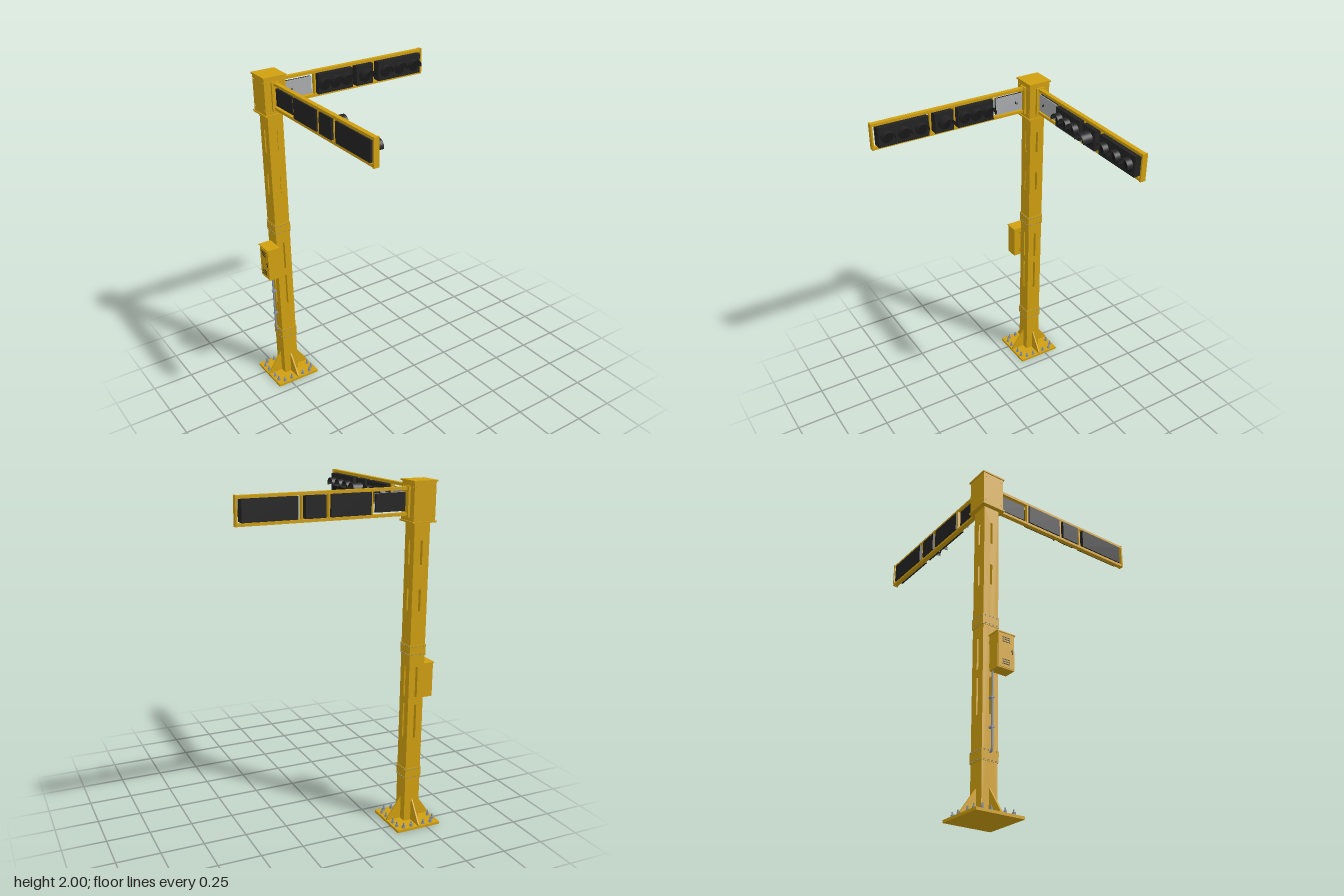
import * as THREE from 'three';

const mat = (name, color, side = THREE.FrontSide) => {
  const m = new THREE.MeshStandardMaterial({ color, side });
  m.name = name;
  return m;
};

export function createModel() {
  const yellow = mat('yellow paint', 0xd0a010);
  const black = mat('black housing', 0x232323, THREE.DoubleSide);
  const lensDark = mat('unlit lens', 0x161616);
  const steel = mat('steel', 0x8a93a3);
  const signGrey = mat('sign grey', 0xa9abae);

  const model = new THREE.Group();
  model.name = 'signalPole';
  // everything hangs on the pole axis
  const root = new THREE.Group();
  root.name = 'poleAssembly';
  root.position.set(-0.45, 0, 0.447);
  model.add(root);

  const add = (parent, name, geo, material, x = 0, y = 0, z = 0) => {
    const m = new THREE.Mesh(geo, material);
    m.name = name;
    m.position.set(x, y, z);
    parent.add(m);
    return m;
  };
  const box = (parent, name, material, w, h, d, x, y, z) =>
    add(parent, name, new THREE.BoxGeometry(w, h, d), material, x, y, z);
  const group = (name, angle = 0) => {
    const g = new THREE.Group();
    g.name = name;
    g.rotation.y = angle;
    root.add(g);
    return g;
  };

  // base plate
  box(root, 'basePlate', yellow, 0.28, 0.015, 0.28, 0, 0.0075, 0);

  // pole wall with slots
  const H = 0.0475, T = 0.004;
  const wall = new THREE.Shape([[-H, 0.01], [H, 0.01], [H, 1.78], [-H, 1.78]].map(p => new THREE.Vector2(...p)));
  for (const [a, b] of [[0.535, 0.74], [0.785, 0.965], [1.285, 1.41], [1.545, 1.68]]) {
    wall.holes.push(new THREE.Path([[-0.007, a], [-0.007, b], [0.007, b], [0.007, a]].map(p => new THREE.Vector2(...p))));
  }
  const wallGeo = new THREE.ExtrudeGeometry(wall, { depth: T, bevelEnabled: false });

  // triangular base gusset
  const gusset = new THREE.Shape([[H, 0.015], [0.137, 0.015], [0.137, 0.025], [H + 0.004, 0.15], [H, 0.15]].map(p => new THREE.Vector2(...p)));
  const gussetGeo = new THREE.ExtrudeGeometry(gusset, { depth: 0.008, bevelEnabled: false });

  const washerGeo = new THREE.CylinderGeometry(0.011, 0.011, 0.004, 16);
  const nutGeo = new THREE.CylinderGeometry(0.008, 0.008, 0.012, 6);
  const studGeo = new THREE.CylinderGeometry(0.004, 0.004, 0.016, 10);
  const boltGeo = new THREE.CylinderGeometry(0.0035, 0.0035, 0.006, 6).rotateX(Math.PI / 2);

  // four sides of the pole
  for (let i = 0; i < 4; i++) {
    const side = group('poleSide', i * Math.PI / 2);
    add(side, 'poleWall', wallGeo, yellow, 0, 0, H - T);
    add(side, 'gusset', gussetGeo, yellow, 0, 0, -0.004);
    for (const x of [-0.09, -0.04, 0.04, 0.09]) {
      add(side, 'anchorWasher', washerGeo, steel, x, 0.017, 0.119);
      add(side, 'anchorNut', nutGeo, steel, x, 0.025, 0.119);
      add(side, 'anchorStud', studGeo, steel, x, 0.037, 0.119);
    }
    // bolts on the splice collars and head plates
    for (const y of [0.292, 0.342, 1.04, 1.086]) {
      for (const x of [-0.036, -0.012, 0.012, 0.036]) add(side, 'collarBolt', boltGeo, steel, x, y, 0.053);
    }
    for (const y of [1.81, 1.965]) {
      for (const x of [-0.052, 0.052]) add(side, 'headBolt', boltGeo, yellow, x, y, 0.067);
    }
  }
  // inner baffle behind the upper slots
  box(root, 'innerBaffle', yellow, 0.003, 0.46, 0.08, 0.03, 1.48, 0);

  // splice collars, as four strips around the pole
  for (const y of [0.317, 1.063]) {
    for (const s of [-1, 1]) {
      box(root, 'collarStrip', yellow, 0.102, 0.062, 0.005, 0, y, s * 0.0485);
      box(root, 'collarStrip', yellow, 0.005, 0.062, 0.102, s * 0.0485, y, 0);
    }
  }

  // head box with cover plates
  box(root, 'headBox', yellow, 0.132, 0.215, 0.132, 0, 1.887, 0);
  box(root, 'headTopPlate', yellow, 0.145, 0.009, 0.145, 0, 1.9955, 0);
  box(root, 'headBottomPlate', yellow, 0.145, 0.009, 0.145, 0, 1.7805, 0);

  // signal arm along local +x, lights facing local n * z
  const CY = 1.887;
  const buildArm = (name, angle, n) => {
    const arm = group(name, angle);
    box(arm, 'armFlange', yellow, 0.012, 0.165, 0.05, 0.072, CY, 0);
    for (const y of [1.82, 1.957]) box(arm, 'armRail', yellow, 0.962, 0.016, 0.026, 0.551, y, 0);
    box(arm, 'armEndPlate', yellow, 0.01, 0.156, 0.032, 1.032, 1.889, 0);
    for (const s of [0.284, 0.532, 0.682]) box(arm, 'armPost', yellow, 0.01, 0.125, 0.024, s, 1.888, 0);

    // sign box with pale face and small latch
    box(arm, 'signBox', black, 0.175, 0.098, 0.014, 0.173, CY, 0);
    box(arm, 'signFace', signGrey, 0.175, 0.1, 0.005, 0.173, CY, n * 0.0095);
    for (const [dx, dy] of [[0, 0], [0.01, 0.006]]) {
      box(arm, 'signLatch', black, 0.005, 0.012, 0.004, 0.122 + dx, 1.88 + dy, n * 0.013);
    }

    // signal heads: start, end, lens positions, hood radius and depth
    const heads = [
      [0.292, 0.522, [0.329, 0.405, 0.481], 0.038, 0.036],
      [0.55, 0.665, [0.607], 0.042, 0.065],
      [0.704, 1.007, [0.753, 0.855, 0.957], 0.038, 0.036],
    ];
    for (const [a, b, lenses, r, depth] of heads) {
      box(arm, 'signalHousing', black, b - a, 0.116, 0.055, (a + b) / 2, 1.888, n * 0.0095);
      const hoodGeo = new THREE.CylinderGeometry(r, r, depth, 28, 1, true, Math.PI / 2 - 0.2, Math.PI + 0.4).rotateX(Math.PI / 2);
      const lensGeo = new THREE.CylinderGeometry(r - 0.003, r - 0.003, 0.004, 28).rotateX(Math.PI / 2);
      for (const s of lenses) {
        add(arm, 'signalHood', hoodGeo, black, s, 1.884, n * (0.036 + depth / 2));
        add(arm, 'signalLens', lensGeo, lensDark, s, 1.884, n * 0.039);
      }
    }
  };
  buildArm('sideArm', 0, -1);
  buildArm('rearArm', Math.PI / 2, 1);

  // control cabinet on the front of the pole
  const cab = group('controlCabinet');
  box(cab, 'cabinetBody', yellow, 0.104, 0.2, 0.072, 0.039, 0.864, 0.092);
  box(cab, 'cabinetRoof', yellow, 0.114, 0.006, 0.08, 0.039, 0.967, 0.093);
  box(cab, 'cabinetDoor', yellow, 0.096, 0.188, 0.004, 0.041, 0.864, 0.129);
  for (const y of [0.8, 0.93]) box(cab, 'cabinetBracket', yellow, 0.06, 0.02, 0.014, 0.02, y, 0.052);
  for (const y of [0.915, 0.927, 0.939, 0.789, 0.801, 0.813]) {
    box(cab, 'doorVent', black, 0.048, 0.004, 0.004, 0.038, y, 0.1305);
  }
  box(cab, 'doorLatch', black, 0.006, 0.024, 0.006, 0.076, 0.864, 0.131);

  // conduit bending into the pole, with clamps
  const path = new THREE.CatmullRomCurve3([
    [0, 0.77, 0.066], [0, 0.6, 0.066], [0, 0.4, 0.066], [0, 0.35, 0.065], [0, 0.335, 0.058], [0, 0.332, 0.045],
  ].map(p => new THREE.Vector3(...p)));
  add(cab, 'conduit', new THREE.TubeGeometry(path, 32, 0.006, 10), steel);
  for (const y of [0.46, 0.62]) box(cab, 'conduitClamp', steel, 0.02, 0.008, 0.027, 0, y, 0.06);

  return model;
}
